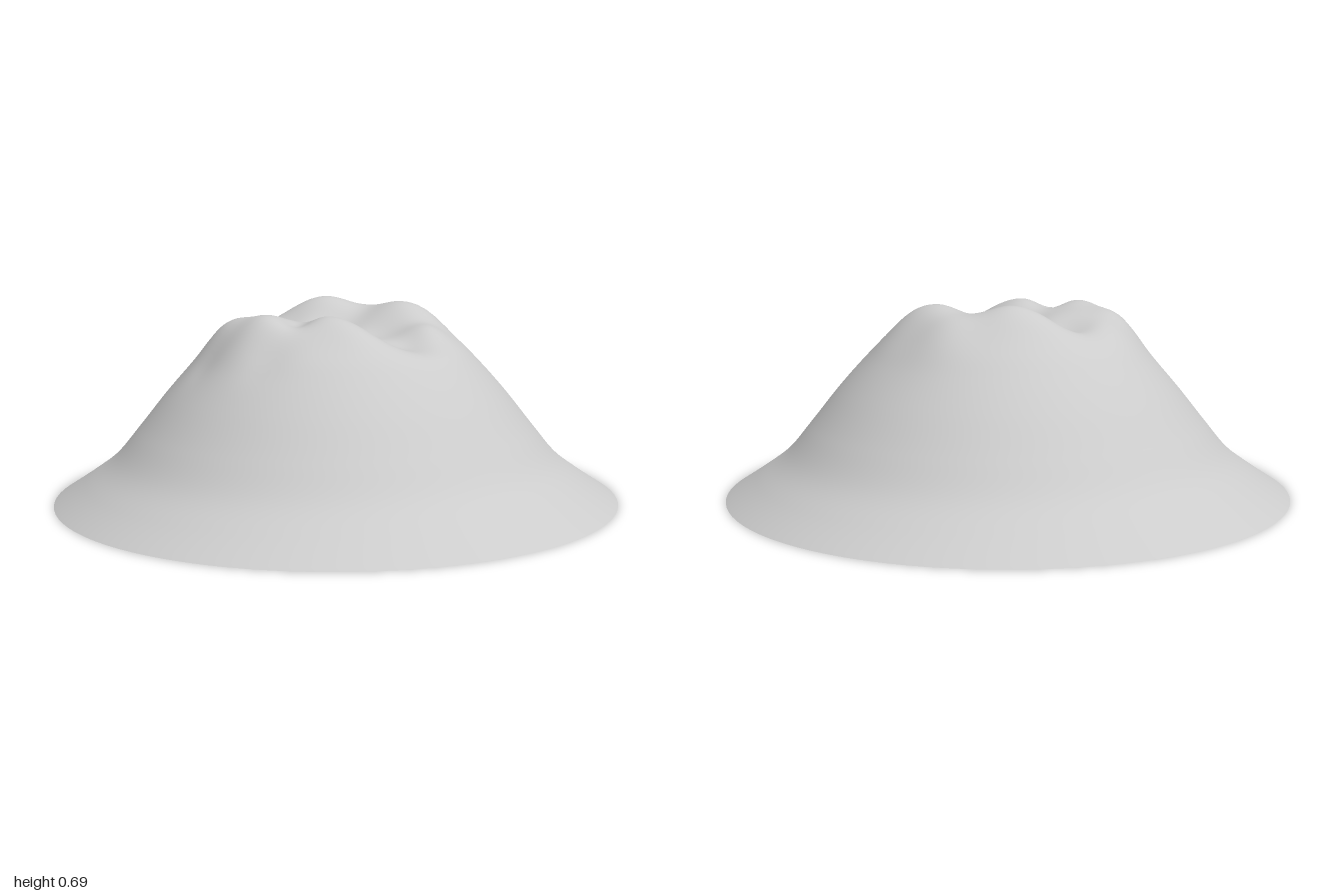
import * as THREE from 'three';
import { mergeVertices } from 'three/addons/utils/BufferGeometryUtils.js';

// Radial section of the hill: [radius, height]
const section = [
  [1, 0], [0.89, 0.072], [0.79, 0.148], [0.7, 0.255], [0.6, 0.38], [0.51, 0.48],
  [0.44, 0.545], [0.36, 0.59], [0.28, 0.605], [0.18, 0.605], [0, 0.6],
];

// Summit relief: [x, z, height, spread]
const relief = [
  // knolls
  [-0.28, 0.17, 0.062, 0.085], [-0.4, 0.03, 0.045, 0.07], [-0.07, 0.21, 0.055, 0.075],
  [0.01, 0.3, 0.02, 0.06], [0.02, -0.24, 0.078, 0.085], [0.24, -0.1, 0.065, 0.085],
  [0.35, -0.06, 0.03, 0.07], [0.22, -0.28, 0.035, 0.08], [0.29, 0.13, 0.02, 0.05],
  [-0.2, 0.0, 0.025, 0.08], [-0.1, -0.27, 0.03, 0.07], [-0.33, -0.12, 0.02, 0.08],
  // saddle and gullies
  [0.0, -0.07, -0.03, 0.07], [0.13, 0.07, -0.03, 0.07], [0.19, 0.24, -0.05, 0.075],
  [-0.18, -0.16, -0.03, 0.07], [-0.17, 0.19, -0.025, 0.04], [-0.3, 0.31, -0.02, 0.06],
  [-0.48, 0.12, -0.02, 0.05],
];

function reliefAt(x, z) {
  let h = 0;
  for (const [cx, cz, amount, spread] of relief) {
    const d2 = (x - cx) ** 2 + (z - cz) ** 2;
    h += amount * Math.exp(-d2 / (2 * spread * spread));
  }
  // fade out toward the flanks
  return h * (1 - THREE.MathUtils.smoothstep(Math.hypot(x, z), 0.4, 0.65));
}

export function createModel() {
  const group = new THREE.Group();
  group.name = 'hill';

  // Smooth body of revolution, then raise and lower the summit
  const curve = new THREE.SplineCurve(section.map(([r, y]) => new THREE.Vector2(r, y)));
  const points = curve.getSpacedPoints(80);
  points[80].x = 0;
  const lathe = new THREE.LatheGeometry(points, 96);
  lathe.deleteAttribute('uv');
  lathe.deleteAttribute('normal');
  const geometry = mergeVertices(lathe, 1e-5);
  const pos = geometry.attributes.position;
  for (let i = 0; i < pos.count; i++) {
    const x = pos.getX(i);
    const z = pos.getZ(i) * 0.967;
    pos.setXYZ(i, x, Math.max(0, pos.getY(i) + reliefAt(x, z)), z);
  }
  geometry.computeVertexNormals();

  const terrain = new THREE.Mesh(
    geometry,
    new THREE.MeshStandardMaterial({ color: 0xcccccc, side: THREE.DoubleSide })
  );
  terrain.name = 'terrain';
  group.add(terrain);
  return group;
}
